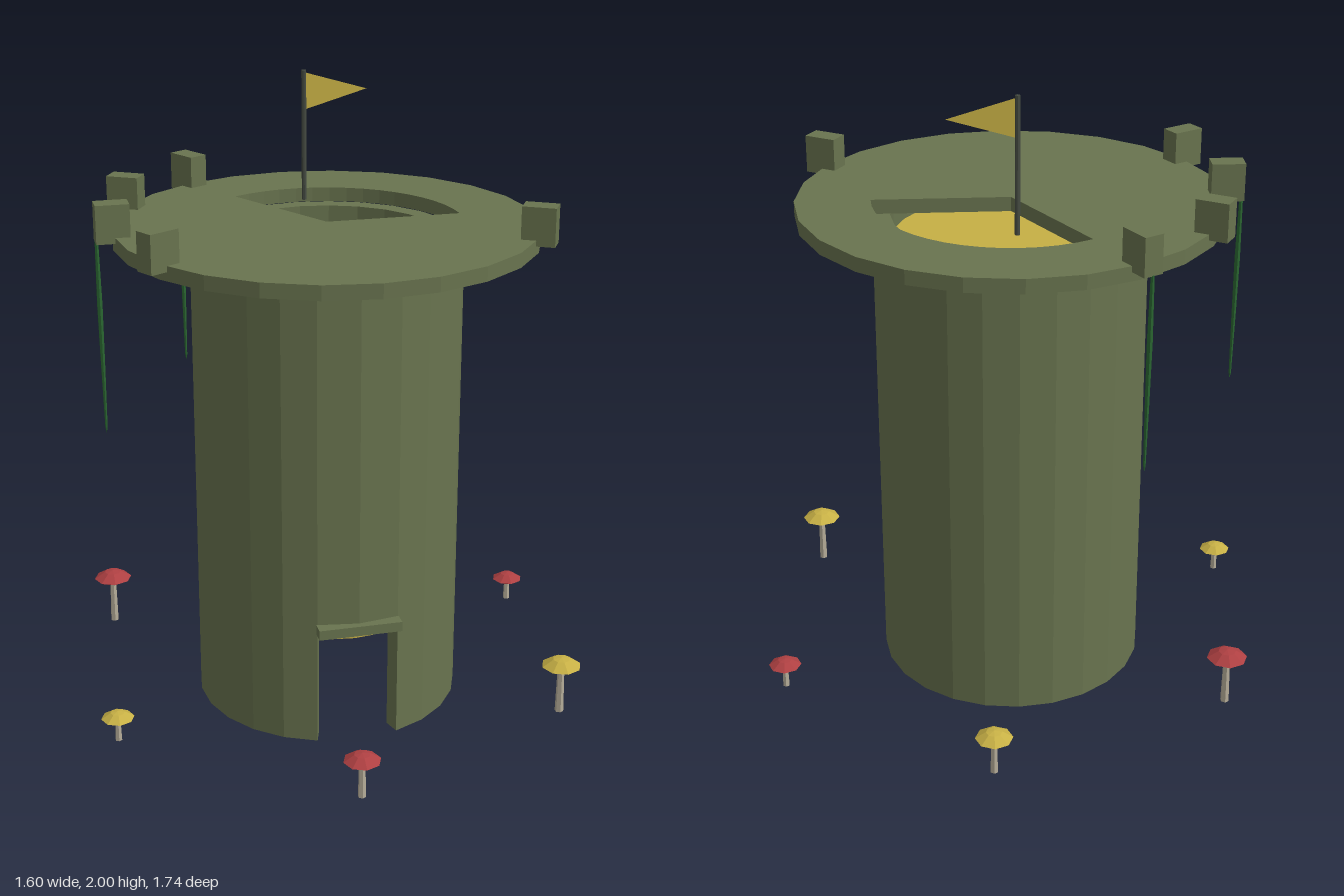
import * as THREE from 'three';

const mat = (name, color, extra = {}) =>
  Object.assign(new THREE.MeshStandardMaterial({ color, ...extra }), { name });

export function createModel() {
  const stone = mat('mossy stone', 0x69744f);
  const gold = mat('gold', 0xc7b045, { side: THREE.DoubleSide });
  const red = mat('red cap', 0xae4042);
  const stemMat = mat('pale stem', 0xb5ac98);
  const poleMat = mat('dark pole', 0x454b42);
  const vineMat = mat('vine green', 0x2a6631);
  for (const m of [stone, gold, red, stemMat, poleMat, vineMat]) m.flatShading = true;

  const model = new THREE.Group();
  model.name = 'ruinedTower';
  const add = (parent, name, geo, material, x = 0, y = 0, z = 0) => {
    const mesh = new THREE.Mesh(geo, material);
    mesh.name = name;
    mesh.position.set(x, y, z);
    parent.add(mesh);
    return mesh;
  };

  // Points on an arc; angles run from +x towards the back (-z)
  const arc = (r, a0, a1, n) => Array.from({ length: n + 1 }, (_, i) => {
    const a = a0 + (a1 - a0) * i / n;
    return new THREE.Vector2(r * Math.cos(a), r * Math.sin(a));
  });
  // Extrude a plan shape upwards
  const upright = (shape, height) =>
    new THREE.ExtrudeGeometry(shape, { depth: height, bevelEnabled: false }).rotateX(-Math.PI / 2);
  const wallShape = (a0, a1, n) =>
    new THREE.Shape([...arc(0.428, a0, a1, n), ...arc(0.372, a1, a0, n)]);

  // Tower wall with a doorway at the front
  const half = 0.307, front = -Math.PI / 2;
  add(model, 'towerWall', upright(wallShape(front + half, front + 2 * Math.PI - half, 22), 1.54), stone);
  add(model, 'wallAboveDoor', upright(wallShape(front - half, front + half, 2), 1.16), stone, 0, 0.38, 0);
  add(model, 'doorLintel', new THREE.BoxGeometry(0.265, 0.032, 0.05), stone, 0, 0.396, 0.425);

  // Inner floors
  for (const [name, y] of [['lowerFloor', 0.345], ['upperFloor', 1.445]])
    add(model, name, new THREE.CylinderGeometry(0.373, 0.373, 0.026, 24), gold, 0, y, 0);

  // Roof platform with a wedge-shaped opening
  const roof = new THREE.Shape(arc(0.664, 0, Math.PI * 2 * 23 / 24, 23));
  roof.holes.push(new THREE.Path([new THREE.Vector2(0, 0), ...arc(0.43, 0, Math.PI * 2 / 3, 16)]));
  add(model, 'roofPlatform', upright(roof, 0.046), stone, 0, 1.54, 0);

  // Remaining battlements around the rim
  for (const deg of [120, 150, 180, 210, 330]) {
    const a = deg * Math.PI / 180;
    const block = add(model, 'battlement', new THREE.BoxGeometry(0.104, 0.12, 0.064), stone,
      0.665 * Math.cos(a), 1.628, -0.665 * Math.sin(a));
    block.rotation.y = a;
  }

  // Hanging vines, slightly swollen in the middle
  const vineProfile = [[0, -0.62], [0.004, -0.6], [0.007, -0.4], [0.009, -0.2], [0.006, 0], [0, 0]]
    .map(p => new THREE.Vector2(...p));
  for (const deg of [120, 180]) {
    const a = deg * Math.PI / 180;
    const vine = add(model, 'vine', new THREE.LatheGeometry(vineProfile, 6), vineMat,
      0.713 * Math.cos(a), 1.57, -0.713 * Math.sin(a));
    vine.rotation.z = 0.008;
  }

  // Flag
  add(model, 'flagPole', new THREE.CylinderGeometry(0.008, 0.008, 0.42, 8), poleMat, 0, 1.79, -0.307);
  const pennant = new THREE.Shape([[0.004, 1.992], [0.004, 1.874], [0.206, 1.932]]
    .map(p => new THREE.Vector2(...p)));
  add(model, 'flag', new THREE.ShapeGeometry(pennant), gold, 0, 0, -0.307);

  // Mushrooms: x, z, rim height, cap radius, cap colour
  const capProfile = [[0, -0.3], [0.45, -0.28], [1, 0], [0.43, 0.36], [0, 0.44]];
  const mushrooms = [
    [-0.655, -0.49, 0.207, 0.064, red], [0.75, -0.32, 0.121, 0.052, red],
    [-0.09, 0.81, 0.166, 0.058, red], [-0.75, 0.32, 0.121, 0.052, gold],
    [0.655, 0.48, 0.207, 0.064, gold], [0.1, -0.81, 0.166, 0.058, gold],
  ];
  for (const [x, z, y, r, capMat] of mushrooms) {
    const mushroom = new THREE.Group();
    mushroom.name = 'mushroom';
    mushroom.position.set(x, 0, z);
    const points = capProfile.map(([px, py]) => new THREE.Vector2(px * r, py * r));
    add(mushroom, 'mushroomCap', new THREE.LatheGeometry(points, 8), capMat, 0, y, 0);
    const h = y - 0.05;
    add(mushroom, 'mushroomStem', new THREE.CylinderGeometry(r * 0.17, r * 0.22, h, 6), stemMat, 0, 0.042 + h / 2, 0);
    model.add(mushroom);
  }
  return model;
}
